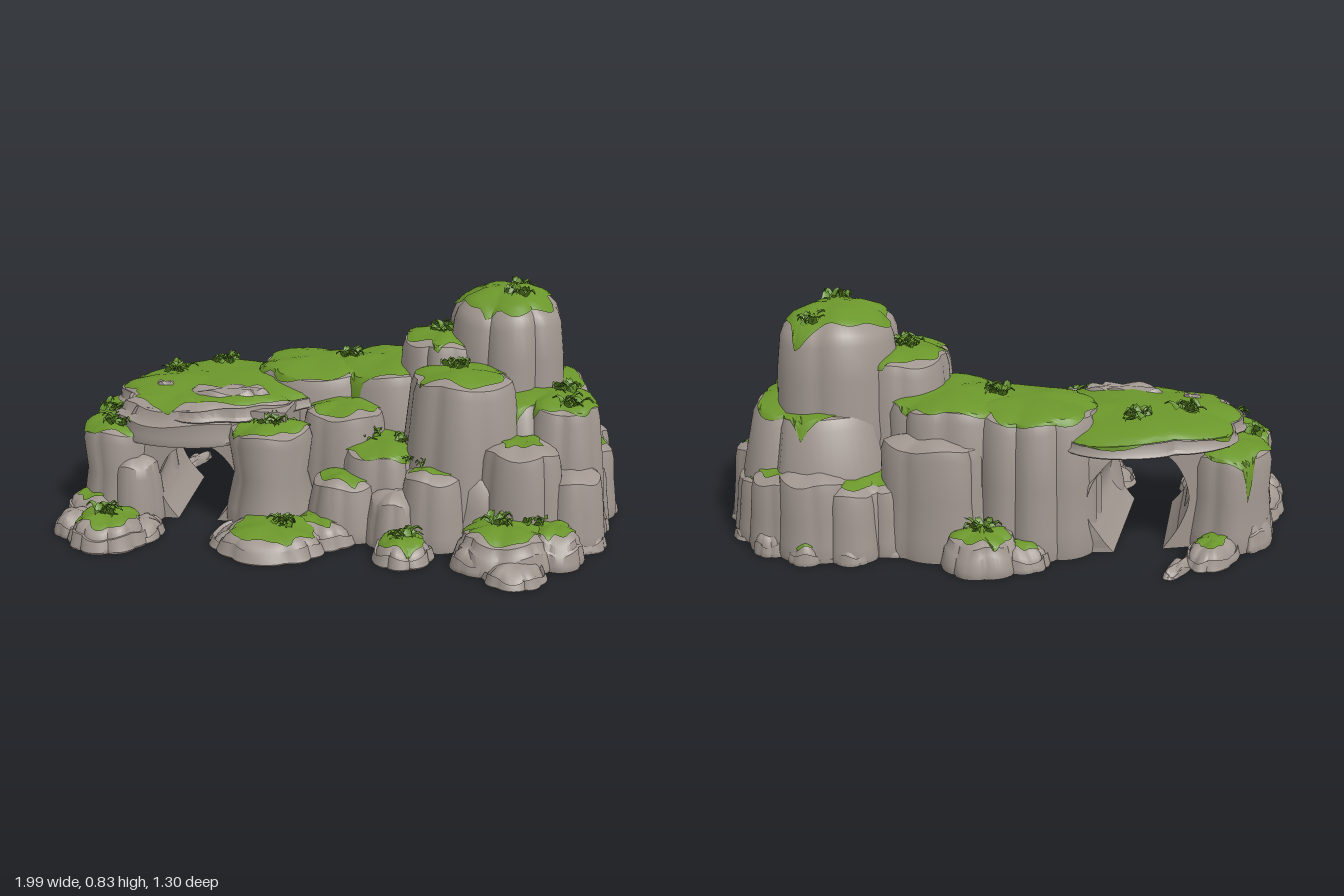
import * as THREE from 'three';
import { toCreasedNormals, mergeGeometries } from 'three/addons/utils/BufferGeometryUtils.js';

const rock = new THREE.MeshStandardMaterial({ color: 0xa0968f });
rock.name = 'rock';
const grass = new THREE.MeshStandardMaterial({ color: 0x6b962b, side: THREE.DoubleSide });
grass.name = 'grass';
const leaf = new THREE.MeshStandardMaterial({ color: 0x5f8c26, side: THREE.DoubleSide });
leaf.name = 'leaf';

let seed = 7;
const rand = () => (seed = (seed * 16807) % 2147483647) / 2147483647;

const SEG = 64;

// Closed skin through rows of ring points, listed from top to bottom
function skin(rows, pointAt) {
  const pos = [], index = [];
  for (let i = 0; i < rows; i++)
    for (let j = 0; j < SEG; j++) pos.push(...pointAt(i, (j / SEG) * Math.PI * 2));
  for (let i = 0; i < rows - 1; i++)
    for (let j = 0; j < SEG; j++) {
      const k = (j + 1) % SEG, a = i * SEG + j, b = i * SEG + k;
      index.push(a, b, a + SEG, b, b + SEG, a + SEG);
    }
  const g = new THREE.BufferGeometry();
  g.setAttribute('position', new THREE.Float32BufferAttribute(pos, 3));
  g.setIndex(index);
  return toCreasedNormals(g, 0.65);
}

// Weathered boulder with bulging columns. cover: grass spread (1 = to the shoulder),
// top and mid: relative width at shoulder and waist, drape: extra grass hanging at the back
function boulder(parent, name, { x, z, rx, rz, y0, y1, cover, dome = 0.03, lobes = 6, turn = 0, top = 0.79, mid = 0.91, drape = 0 }) {
  const p = [0, 1, 2, 3].map(() => rand() * Math.PI * 2);
  const h = y1 - y0, cut = Math.min(0.035, h * 0.2);
  const profile = [[0, y1], [0.45 * top, y1 - dome * 0.12], [0.8 * top, y1 - dome * 0.5], [top, y1 - dome],
    [top * 1.07, y1 - dome - cut], [mid, y0 + h * 0.5], [0.97, y0 + h * 0.2], [1, y0 + h * 0.07], [0.98, y0], [0, y0]];
  const at = (t, a, lift = 0) => {
    const i = Math.min(Math.floor(t), profile.length - 2), f = t - i;
    const s = THREE.MathUtils.lerp(profile[i][0], profile[i + 1][0], f);
    const y = THREE.MathUtils.lerp(profile[i][1], profile[i + 1][1], f);
    const warped = a + 0.4 * Math.sin(a + p[0]) + 0.12 * Math.sin(3 * a + p[1]);
    const bulge = 0.88 + 0.12 * Math.sqrt(Math.abs(Math.sin((warped * lobes) / 2 + p[2])));
    const r = s * bulge * (1 - 0.02 * (1 + Math.sin(2 * a + p[3])));
    const u = Math.cos(a) * (r * rx + lift * s), v = Math.sin(a) * (r * rz + lift * s);
    const wob = t > 0.5 && t < 6 ? 0.009 * s * Math.sin(4 * a + p[1]) : 0;
    return [x + u * Math.cos(turn) - v * Math.sin(turn), y + wob + lift,
      z + u * Math.sin(turn) + v * Math.cos(turn)];
  };
  const g = new THREE.Group();
  g.name = name;
  const stone = new THREE.Mesh(skin(profile.length, (i, a) => at(i, a)), rock);
  stone.name = name + 'Stone';
  g.add(stone);
  if (cover) {
    // Ragged turf cap hugging the stone, with a few hanging points
    const edge = (a) => cover * (3.1 + 0.4 * Math.sin(3 * a + p[0]) + 0.3 * Math.sin(7 * a + p[2])
      + 1.5 * Math.max(0, Math.sin(2 * a + p[3])) ** 24) + drape * Math.max(0, -Math.sin(a));
    const cap = new THREE.Mesh(skin(11, (i, a) => at((edge(a) * i) / 10, a, 0.005)), grass);
    cap.name = name + 'Turf';
    g.add(cap);
  }
  parent.add(g);
}

// Low spreading clump of bent leaves
function tuft(parent, x, y, z) {
  const parts = [];
  for (let i = 0; i < 15; i++) {
    const g = new THREE.PlaneGeometry(0.03, 0.05, 2, 3);
    const q = g.attributes.position;
    for (let k = 0; k < q.count; k++) {
      const t = (q.getY(k) + 0.025) / 0.05;
      q.setXYZ(k, q.getX(k) * (1.1 - t), 0.022 * Math.sin(t * 2.6) + Math.abs(q.getX(k)) * 0.4, 0.042 * t);
    }
    g.scale(1, 0.6 + rand() * 0.8, 0.7 + rand() * 0.5);
    g.rotateY(i * 2.4 + rand());
    g.translate((rand() - 0.5) * 0.07, rand() * 0.012, (rand() - 0.5) * 0.06);
    g.computeVertexNormals();
    parts.push(g);
  }
  const m = new THREE.Mesh(mergeGeometries(parts), leaf);
  m.name = 'leafTuft';
  m.position.set(x, y, z);
  parent.add(m);
}

// Tunnel walls and roof, rising and slanting towards the back
function arch(parent) {
  const v = (x, y) => new THREE.Vector2(x, y);
  const s = new THREE.Shape();
  s.moveTo(-0.82, 0);
  s.lineTo(-0.58, 0);
  s.splineThru([v(-0.63, 0.07), v(-0.65, 0.15), v(-0.605, 0.245), v(-0.52, 0.29), v(-0.44, 0.27),
    v(-0.375, 0.2), v(-0.36, 0.12), v(-0.4, 0.05), v(-0.44, 0)]);
  s.lineTo(-0.18, 0);
  s.lineTo(-0.18, 0.42);
  s.lineTo(-0.72, 0.42);
  s.lineTo(-0.8, 0.3);
  const g = new THREE.ExtrudeGeometry(s, { depth: 0.56, steps: 8, bevelEnabled: false, curveSegments: 30 });
  const q = g.attributes.position;
  for (let i = 0; i < q.count; i++) {
    const x = q.getX(i), y = q.getY(i), back = 1 - q.getZ(i) / 0.56;
    const slant = THREE.MathUtils.clamp((-0.3 - x) / 0.55, 0, 1) * 0.27;
    q.setX(i, x + (x + 0.46) * 0.14 * back);
    if (x > -0.7 && x < -0.3 && y < 0.3) q.setY(i, y * (1 + 0.3 * back));
    q.setZ(i, 0.2 - back * (0.57 - slant));
  }
  const m = new THREE.Mesh(toCreasedNormals(g, 0.6), rock);
  m.name = 'archTunnel';
  parent.add(m);
}

export function createModel() {
  const model = new THREE.Group();
  model.name = 'rockyOutcrop';
  const add = (name, x, z, rx, rz, y0, y1, cover, extra = {}) =>
    boulder(model, name, { x, z, rx, rz, y0, y1, cover, ...extra });

  // Tall right-hand hill in tiers
  add('hillBase', 0.56, -0.13, 0.41, 0.49, 0, 0.27, 0, { lobes: 9, top: 0.86, mid: 0.94 });
  add('hillMiddle', 0.6, -0.17, 0.36, 0.44, 0, 0.49, 0.95, { lobes: 8, top: 0.76, mid: 0.92 });
  add('peak', 0.565, -0.21, 0.235, 0.28, 0.35, 0.81, 0.8, { dome: 0.075, lobes: 5, top: 0.83, mid: 0.95 });
  add('peakShoulder', 0.35, -0.17, 0.2, 0.23, 0.1, 0.65, 0.8);
  add('frontShoulder', 0.43, 0.12, 0.24, 0.21, 0, 0.58, 0.75, { lobes: 5, top: 0.75 });
  add('sideShoulder', 0.77, 0.03, 0.18, 0.22, 0, 0.485, 0.95, { top: 0.74 });
  add('hillColumn', 0.64, 0.22, 0.17, 0.17, 0, 0.37, 0.4, { lobes: 4 });
  add('hillColumn', 0.35, 0.25, 0.14, 0.14, 0, 0.27, 0.5, { lobes: 4 });
  add('hillColumn', 0.81, 0.18, 0.14, 0.15, 0, 0.27, 0, { lobes: 4 });

  // Uneven columns and footing stones round the hill
  for (let i = 0; i < 9; i++) {
    const a = -2.75 + i * 0.4, c = Math.cos(a), s = Math.sin(a);
    add('rimColumn', 0.56 + c * 0.28, -0.13 + s * 0.36, 0.155, 0.15, 0, 0.23 + rand() * 0.08, i % 3 ? 0.6 : 0, { lobes: 4, top: 0.82 });
    add('footingStone', 0.56 + c * 0.37, -0.13 + s * 0.46, 0.07, 0.065, 0, 0.04 + rand() * 0.05, i % 3 ? 0 : 0.7);
  }

  // Low ledges in front of the hill
  add('frontLedge', 0.6, 0.4, 0.18, 0.17, 0, 0.13, 0.8, { lobes: 7 });
  add('frontLedge', 0.52, 0.46, 0.1, 0.1, 0, 0.08, 0);
  add('frontLedge', 0.64, 0.54, 0.11, 0.11, 0, 0.06, 0);
  add('frontLedge', 0.76, 0.36, 0.11, 0.13, 0, 0.12, 0.6);
  add('frontLedge', 0.26, 0.42, 0.11, 0.13, 0, 0.075, 0.75);
  add('frontLedge', 0.86, 0.22, 0.09, 0.1, 0, 0.07, 0);

  // Middle saddle and terraces
  add('saddle', -0.12, -0.22, 0.28, 0.25, 0, 0.515, 1, { lobes: 7, top: 0.86, mid: 0.95 });
  add('saddle', 0.15, -0.22, 0.26, 0.27, 0, 0.53, 0.95, { lobes: 6, top: 0.85 });
  add('middleTerrace', 0.0, 0.03, 0.18, 0.18, 0, 0.42, 0.75);
  add('middleTerrace', 0.16, 0.1, 0.21, 0.21, 0, 0.315, 1);
  add('middleTerrace', 0.04, 0.22, 0.15, 0.14, 0, 0.22, 0.6);
  add('middleTerrace', 0.22, 0.29, 0.11, 0.11, 0, 0.19, 0);
  add('backBoulder', -0.02, -0.5, 0.14, 0.13, 0, 0.13, 0.75);
  add('backBoulder', -0.14, -0.46, 0.11, 0.09, 0, 0.08, 0.5);
  add('backBoulder', 0.18, -0.4, 0.2, 0.14, 0, 0.42, 0, { top: 0.85 });

  // Arch with its roof slab
  arch(model);
  add('archRoof', -0.47, -0.08, 0.4, 0.35, 0.385, 0.47, 1.05, { lobes: 9, turn: -0.25, top: 0.87, mid: 0.96, drape: 1.8 });
  add('archLintel', -0.57, 0.12, 0.27, 0.16, 0.295, 0.45, 0.7, { lobes: 5, mid: 0.98 });

  // Right pillar of the arch, narrow at the waist, and its foot
  add('rightPillar', -0.24, 0.18, 0.17, 0.17, 0, 0.385, 0.8, { lobes: 5, top: 0.85, mid: 0.8 });
  add('rightFoot', -0.19, 0.4, 0.2, 0.18, 0, 0.085, 0.75, { lobes: 9, top: 0.84 });
  add('rightFoot', -0.3, 0.36, 0.13, 0.13, 0, 0.05, 0);
  add('rightFoot', -0.04, 0.3, 0.14, 0.14, 0, 0.085, 0.5);

  // Left pillar of the arch, its feet and the trailing spit
  add('leftPillar', -0.8, 0.12, 0.155, 0.17, 0, 0.355, 0.95, { lobes: 5, top: 0.86, mid: 0.86 });
  add('leftPillar', -0.8, -0.06, 0.16, 0.19, 0, 0.36, 1, { lobes: 5, top: 0.86, mid: 0.9 });
  add('leftPillar', -0.73, 0.2, 0.1, 0.11, 0, 0.24, 0, { lobes: 4 });
  add('leftFoot', -0.87, 0.2, 0.13, 0.17, 0, 0.1, 0.5);
  add('leftFoot', -0.77, 0.42, 0.15, 0.15, 0, 0.1, 0.75, { lobes: 7 });
  add('leftFoot', -0.67, 0.36, 0.08, 0.12, 0, 0.06, 0);
  add('leftFoot', -0.91, 0.36, 0.08, 0.09, 0, 0.08, 0);
  add('leftFoot', -0.89, -0.05, 0.08, 0.16, 0, 0.12, 0.6);
  add('backSpit', -0.77, -0.26, 0.09, 0.15, 0, 0.07, 0.5, { turn: 0.3 });
  add('backSpit', -0.67, -0.39, 0.035, 0.1, 0, 0.03, 0, { dome: 0.01, turn: 0.35 });

  // Bare patches showing through the roof turf
  for (const [x, z, r] of [[-0.42, 0.11, 0.14], [-0.34, 0.09, 0.09], [-0.65, 0.06, 0.04]])
    add('barePatch', x, z, r, r * 0.5, 0.44, 0.474, 0, { dome: 0.004, lobes: 3 });

  // Leaf clumps
  for (const [x, y, z] of [[0.61, 0.76, -0.36], [0.6, 0.785, -0.13], [0.34, 0.645, -0.16], [0.4, 0.575, 0.09],
    [0.79, 0.48, 0], [0.8, 0.465, 0.12], [0, 0.515, -0.22], [-0.65, 0.465, -0.1], [-0.5, 0.47, -0.24],
    [-0.86, 0.345, 0.04], [-0.79, 0.35, 0.2], [-0.77, 0.095, 0.42], [-0.23, 0.38, 0.22], [-0.15, 0.08, 0.4],
    [0.1, 0.31, 0.1], [0.24, 0.3, 0.12], [0.26, 0.07, 0.42], [0.58, 0.125, 0.4], [-0.02, 0.125, -0.5],
    [0.7, 0.12, 0.36], [0.85, 0.26, -0.25], [0.3, 0.265, 0.24]]) tuft(model, x, y, z);

  return model;
}
